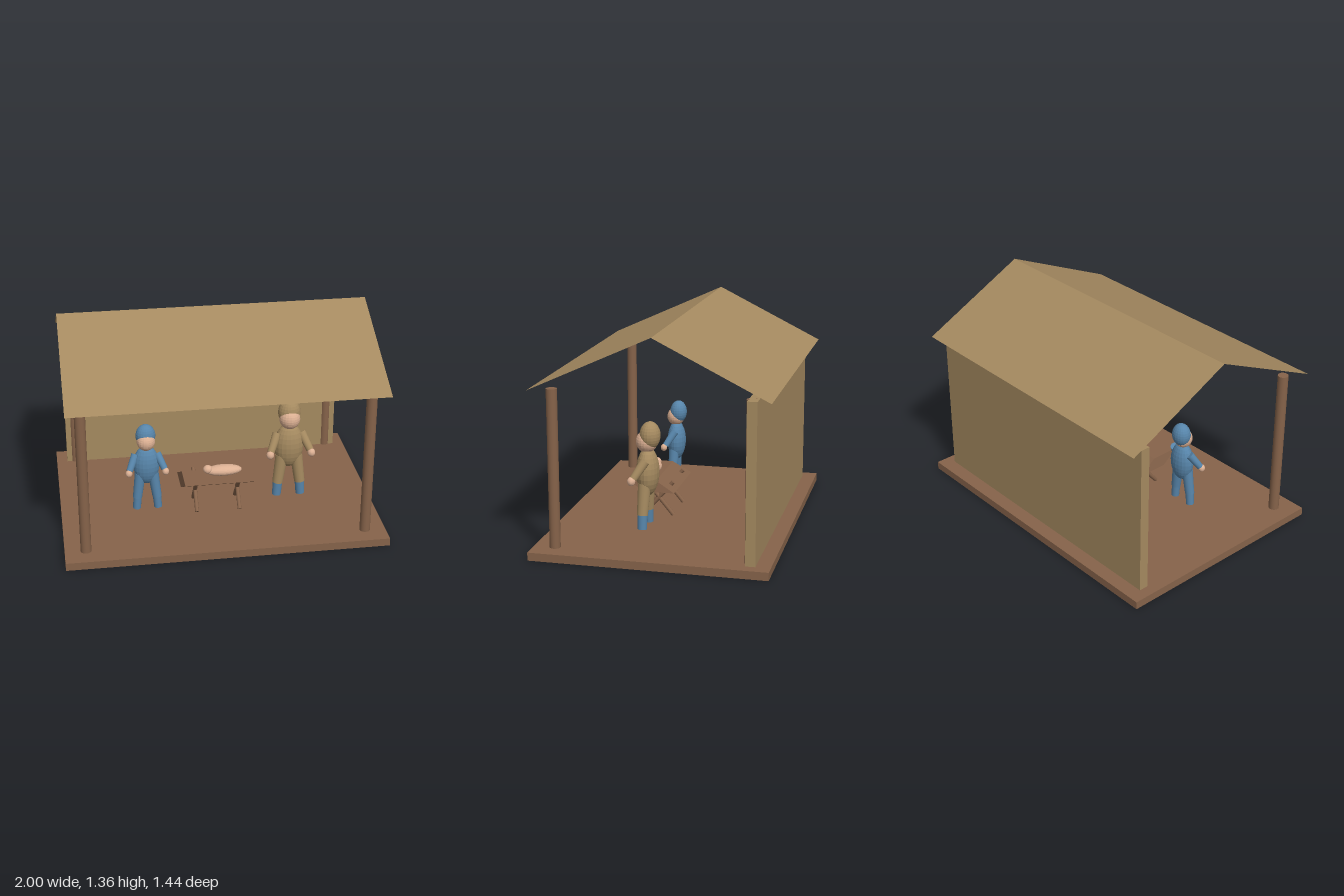
import * as THREE from 'three';

const material = (name, color, extra = {}) => new THREE.MeshStandardMaterial({ name, color, ...extra });

export function createModel() {
  const model = new THREE.Group();
  model.name = 'shelterScene';
  const wood = material('brownWood', 0x86634a);
  const tan = material('tan', 0xa58a60);
  const roofTan = tan.clone();
  roofTan.side = THREE.DoubleSide;
  const blue = material('blue', 0x5785aa);
  const skin = material('skin', 0xdcb093);

  const add = (parent, name, geometry, mat) => {
    const mesh = new THREE.Mesh(geometry, mat);
    mesh.name = name;
    parent.add(mesh);
    return mesh;
  };
  const box = (name, mat, w, h, d, x, y, z) => {
    add(model, name, new THREE.BoxGeometry(w, h, d), mat).position.set(x, y, z);
  };
  // Faceted ellipsoid
  const ball = (parent, name, mat, [x, y, z], [rx, ry, rz]) => {
    let g = new THREE.SphereGeometry(1, 20, 14).scale(rx, ry, rz).toNonIndexed();
    g.computeVertexNormals();
    add(parent, name, g, mat).position.set(x, y, z);
  };
  // Round rod between two points
  const rod = (parent, name, mat, from, to, r0, r1 = r0) => {
    const a = new THREE.Vector3(...from), b = new THREE.Vector3(...to);
    const dir = b.clone().sub(a);
    const mesh = add(parent, name, new THREE.CylinderGeometry(r1, r0, dir.length(), 16), mat);
    mesh.position.copy(a).add(b).multiplyScalar(0.5);
    mesh.quaternion.setFromUnitVectors(new THREE.Vector3(0, 1, 0), dir.normalize());
  };

  // Floor, back wall and corner posts
  box('floor', wood, 2, 0.05, 1.44, 0, 0.025, 0);
  box('backWall', tan, 1.86, 0.97, 0.06, 0, 0.535, -0.6);
  for (const x of [-0.87, 0.87]) for (const z of [-0.59, 0.59]) {
    rod(model, z > 0 ? 'frontPost' : 'backPost', wood, [x, 0.05, z], [x, 1.02, z], 0.033);
  }

  // Two thin roof slopes meeting at the ridge
  const slope = (name, zLow, zHigh, yLow, yHigh) => {
    const g = new THREE.PlaneGeometry(1.92, 1);
    const p = g.attributes.position;
    for (let i = 0; i < p.count; i++) {
      const top = p.getY(i) > 0;
      p.setXYZ(i, p.getX(i), top ? yHigh : yLow, top ? zHigh : zLow);
    }
    // Turn the rear slope's face outward
    if (zLow < zHigh) for (let i = 0; i < p.count; i++) p.setX(i, -p.getX(i));
    g.computeVertexNormals();
    add(model, name, g, roofTan);
  };
  slope('frontRoof', 0.715, -0.03, 1.02, 1.36);
  slope('backRoof', -0.715, -0.03, 1.02, 1.36);

  // Slanted trough: a box sheared forward at its top
  const trough = new THREE.BoxGeometry(1, 1, 1);
  const tp = trough.attributes.position;
  for (let i = 0; i < tp.count; i++) {
    const top = tp.getY(i) > 0;
    tp.setXYZ(i,
      Math.sign(tp.getX(i)) * (top ? 0.225 : 0.24),
      top ? 0.302 : 0.23,
      tp.getZ(i) * 0.195 + (top ? 0.235 : 0.113));
  }
  trough.computeVertexNormals();
  add(model, 'trough', trough, wood);

  // Crossed trough legs
  for (const x of [-0.14, 0.135]) {
    rod(model, 'troughLeg', wood, [x, 0.055, 0.235], [x, 0.275, 0.045], 0.013);
    rod(model, 'troughLeg', wood, [x, 0.055, 0.045], [x, 0.265, 0.22], 0.013);
  }

  // Baby
  ball(model, 'babyBody', skin, [0.035, 0.327, 0.2], [0.118, 0.034, 0.047]);
  ball(model, 'babyHead', skin, [-0.067, 0.342, 0.205], [0.03, 0.027, 0.03]);

  // Standing figure, modelled from the soles up
  const figure = (name, robe, x, y, z, scale) => {
    const f = new THREE.Group();
    f.name = name;
    f.position.set(x, y, z);
    f.scale.setScalar(scale);
    model.add(f);
    ball(f, 'hood', robe, [0, 0.573, -0.032], [0.072, 0.087, 0.064]);
    ball(f, 'face', skin, [0, 0.536, -0.012], [0.067, 0.07, 0.067]);
    ball(f, 'torso', robe, [0, 0.345, -0.017], [0.095, 0.152, 0.07]);
    for (const s of [-1, 1]) {
      rod(f, 'arm', robe, [s * 0.127, 0.33, 0.04], [s * 0.078, 0.43, -0.02], 0.024, 0.03);
      ball(f, 'hand', skin, [s * 0.133, 0.315, 0.052], [0.025, 0.028, 0.025]);
      rod(f, 'leg', robe, [s * 0.072, 0.088, 0], [s * 0.047, 0.28, -0.008], 0.034, 0.04);
      rod(f, 'boot', blue, [s * 0.078, 0, 0], [s * 0.071, 0.095, 0], 0.029, 0.031);
    }
  };
  figure('tanFigure', tan, 0.47, 0.09, 0.14, 1);
  figure('blueFigure', blue, -0.452, 0.086, 0.18, 0.87);

  return model;
}
